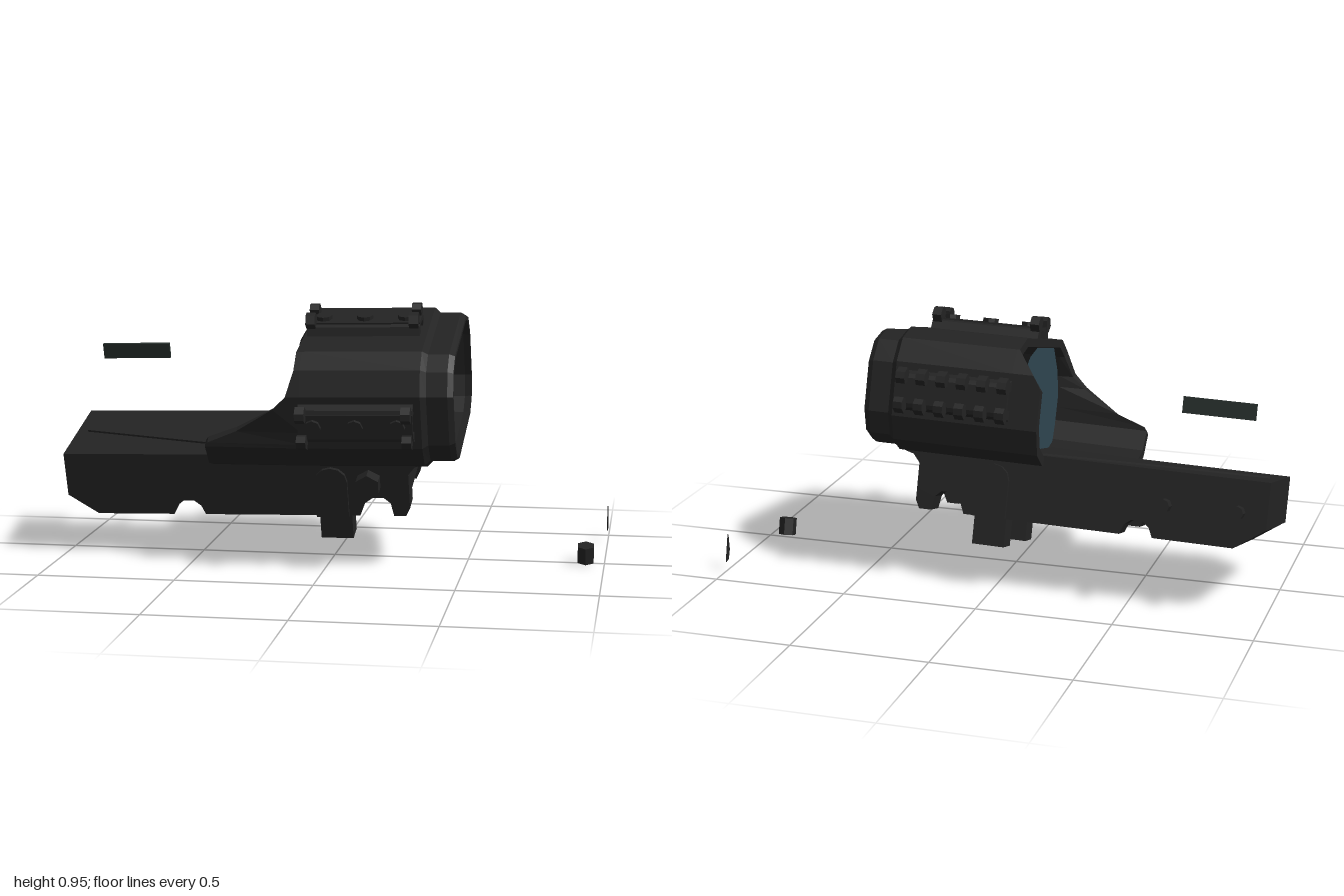
import * as THREE from 'three';

const body = new THREE.MeshStandardMaterial({ color: 0x232323 });
body.name = 'matteBlack';
const glass = new THREE.MeshStandardMaterial({ color: 0x2f4651, side: THREE.DoubleSide });
glass.name = 'blueGlass';
const marker = new THREE.MeshStandardMaterial({ color: 0x252d2a });
marker.name = 'greenBlack';

function add(parent, name, geo, x = 0, y = 0, z = 0, mat = body) {
  const m = new THREE.Mesh(geo, mat);
  m.name = name;
  m.position.set(x, y, z);
  parent.add(m);
  return m;
}
const shapeOf = (pts) => new THREE.Shape(pts.map(([x, y]) => new THREE.Vector2(x, y)));
const extrude = (pts, depth) =>
  new THREE.ExtrudeGeometry(shapeOf(pts), { depth, bevelEnabled: false });
function prism(r, h, sides) {
  const g = new THREE.CylinderGeometry(r, r, h, sides).toNonIndexed();
  g.computeVertexNormals();
  return g;
}

// Hood cross-section: z, y and the x where the wall ends at the rear
const HOOD = [
  [-0.22, 0.223, -0.08], [0.22, 0.223, -0.09], [0.3, 0.183, -0.09], [0.342, 0.098, -0.12],
  [0.342, 0.05, -0.17], [0.342, -0.04, -0.31], [0.342, -0.085, -0.42], [0.342, -0.1, -0.43],
  [0.3, -0.183, -0.43], [0.22, -0.223, -0.43], [0.19, -0.223, -0.18], [-0.22, -0.223, -0.18],
  [-0.3, -0.183, -0.18], [-0.342, -0.097, -0.18], [-0.342, 0.05, -0.18],
  [-0.342, 0.098, -0.15], [-0.3, 0.183, -0.08],
];

// Closed tube wall: outside to the front rim, then back along the inside
function hoodGeometry() {
  const ring = (x, inset) => HOOD.map(([z, y, end]) => {
    const px = x === null ? end : x;
    const taper = px < -0.3 ? 0.95 : 1;
    return [px, y * (1 - inset / 0.223), z * (1 - inset / 0.342) * taper];
  });
  const rings = [ring(null, 0), ring(-0.07, 0), ring(0.36, 0), ring(0.38, 0.016),
    ring(0.455, 0.016), ring(0.475, 0.026), ring(0.475, 0.04), ring(0.45, 0.034),
    ring(-0.07, 0.034), ring(null, 0.03), ring(null, 0)];
  const pos = [];
  const n = HOOD.length;
  for (let i = 0; i < rings.length - 1; i++) {
    for (let j = 0; j < n; j++) {
      const k = (j + 1) % n;
      const a = rings[i][j], b = rings[i][k], c = rings[i + 1][k], d = rings[i + 1][j];
      pos.push(...a, ...b, ...c, ...a, ...c, ...d);
    }
  }
  const g = new THREE.BufferGeometry();
  g.setAttribute('position', new THREE.Float32BufferAttribute(pos, 3));
  g.computeVertexNormals();
  return g;
}

// Accessory rail: two feet, a bridging bar, paired lugs and optional screws
function makeRail(name, teeth, screws) {
  const rail = new THREE.Group();
  rail.name = name;
  const lug = [[0.032, 0.025], [0.024, 0.066], [0.042, 0.081], [0.065, 0.077],
    [0.082, 0.05], [0.062, 0.025]];
  add(rail, 'railBar', new THREE.BoxGeometry(0.41, 0.015, 0.09), 0.13, 0.034, 0);
  for (const side of [1, -1]) {
    const foot = [[0.034, -0.01], [0.075, -0.01], [0.06, 0.03], [0.034, 0.04]];
    const make = (pts, len) => {
      const p = pts.map(([w, h]) => [w * side, h]);
      return extrude(p, len).rotateY(Math.PI / 2);
    };
    add(rail, 'railFoot', make(foot, 0.41), -0.075, 0, 0);
    for (const x of teeth) add(rail, 'railLug', make(lug, 0.034), x - 0.017, 0, 0);
  }
  if (screws) {
    for (const x of [-0.02, 0.13, 0.28]) add(rail, 'railScrew', prism(0.03, 0.02, 8), x, 0.046, 0);
  }
  return rail;
}

export function createModel() {
  const model = new THREE.Group();
  model.name = 'opticSight';

  // The whole sight leans sideways and pitches slightly
  const tilt = new THREE.Group();
  tilt.name = 'sight';
  tilt.position.set(0.3, 0.648, 0.015);
  tilt.rotation.set(0.253, 0, 0.025);
  model.add(tilt);
  const sight = new THREE.Group();
  sight.name = 'sightBody';
  sight.position.x = -0.3;
  tilt.add(sight);

  add(sight, 'hood', hoodGeometry());

  // Lens
  const lens = [[0.148, 0.19], [0.225, 0.107], [0.27, 0.015], [0.265, -0.1], [0.253, -0.16],
    [0.22, -0.195], [-0.2, -0.195], [-0.248, -0.12], [-0.26, -0.013], [-0.224, 0.09],
    [-0.16, 0.157], [-0.08, 0.19]].map(([z, y]) => [-z, y]);
  add(sight, 'lens', new THREE.ShapeGeometry(shapeOf(lens)).rotateY(Math.PI / 2), -0.08, 0, 0, glass);

  // Base: deck, side skirts with notches, solid rear block
  const deck = [[-1, -0.187], [-1, -0.355], [0.285, -0.355], [0.285, -0.265], [0.31, -0.235],
    [0.37, -0.218], [-0.1, -0.218], [-0.15, -0.187]];
  add(sight, 'baseDeck', extrude(deck, 0.41), 0, 0, -0.205);
  const skirt = [[-1, -0.354], [-0.89, -0.43], [-0.6, -0.43], [-0.585, -0.395], [-0.56, -0.375],
    [-0.52, -0.375], [-0.495, -0.395], [-0.48, -0.43], [0.1, -0.43], [0.12, -0.38],
    [0.15, -0.358], [0.19, -0.358], [0.215, -0.38], [0.225, -0.43], [0.27, -0.43],
    [0.285, -0.4], [0.285, -0.354]];
  for (const z of [0.12, -0.205]) add(sight, 'baseSkirt', extrude(skirt, 0.085), 0, 0, z);
  const block = [[-1, -0.354], [-0.89, -0.43], [-0.6, -0.43], [-0.585, -0.354]];
  add(sight, 'baseRearBlock', extrude(block, 0.25), 0, 0, -0.125);

  // Shallow triangular ridge on the deck
  const ridge = [[-0.96, 0], [-0.1, -0.195], [-0.1, 0.195]];
  add(sight, 'deckRidge', extrude(ridge, 0.008).rotateX(-Math.PI / 2), 0, -0.188, 0);

  // Clamp levers and jaws on both sides
  const lever = [[-0.06, -0.43], [0.06, -0.43], [0.06, -0.29]];
  for (let i = 1; i <= 6; i++) {
    const a = (i / 6) * Math.PI;
    lever.push([0.06 * Math.cos(a), -0.29 + 0.055 * Math.sin(a)]);
  }
  for (const side of [1, -1]) {
    add(sight, 'clampLever', extrude(lever, 0.03), 0, 0, side * 0.205 - 0.015);
    add(sight, 'clampJaw', new THREE.BoxGeometry(0.12, 0.115, 0.08), 0.005, -0.4775, side * 0.14);
  }
  add(sight, 'clampKnob', prism(0.047, 0.06, 6).rotateX(Math.PI / 2), 0.14, -0.292, 0.23);

  // Rails on the top and both sides of the hood
  const ends = [-0.06, 0.315];
  const top = makeRail('topRail', ends, true);
  top.position.y = 0.223;
  const front = makeRail('frontRail', ends, true);
  front.position.z = 0.342;
  front.rotation.x = Math.PI / 2;
  const back = makeRail('backRail', [-0.06, 0.015, 0.09, 0.165, 0.24, 0.315], false);
  back.position.z = -0.342;
  back.rotation.x = -Math.PI / 2;
  sight.add(top, front, back);

  // Loose pieces set apart from the sight
  const bar = add(model, 'looseBar', new THREE.BoxGeometry(0.26, 0.058, 0.014), -0.8, 0.729, -0.203, marker);
  bar.rotation.set(0.253, 0, 0.025);
  const cap = add(model, 'looseCap', prism(0.033, 0.065, 6), 0.932, 0.042, 0.014);
  cap.rotation.set(0.253, 0, 0);
  for (const x of [-0.9, -0.64]) {
    const pin = add(model, 'loosePin', prism(0.025, 0.047, 8).rotateX(Math.PI / 2), x, 0.403, -0.346);
    pin.rotation.x = 0.253;
  }
  const sliver = [[0.39, 0.14], [0.383, 0.08], [0.395, 0.045], [0.415, 0.04]];
  add(model, 'looseSliver', extrude(sliver, 0.004).rotateY(Math.PI / 2), 0.996, 0, 0);

  return model;
}
